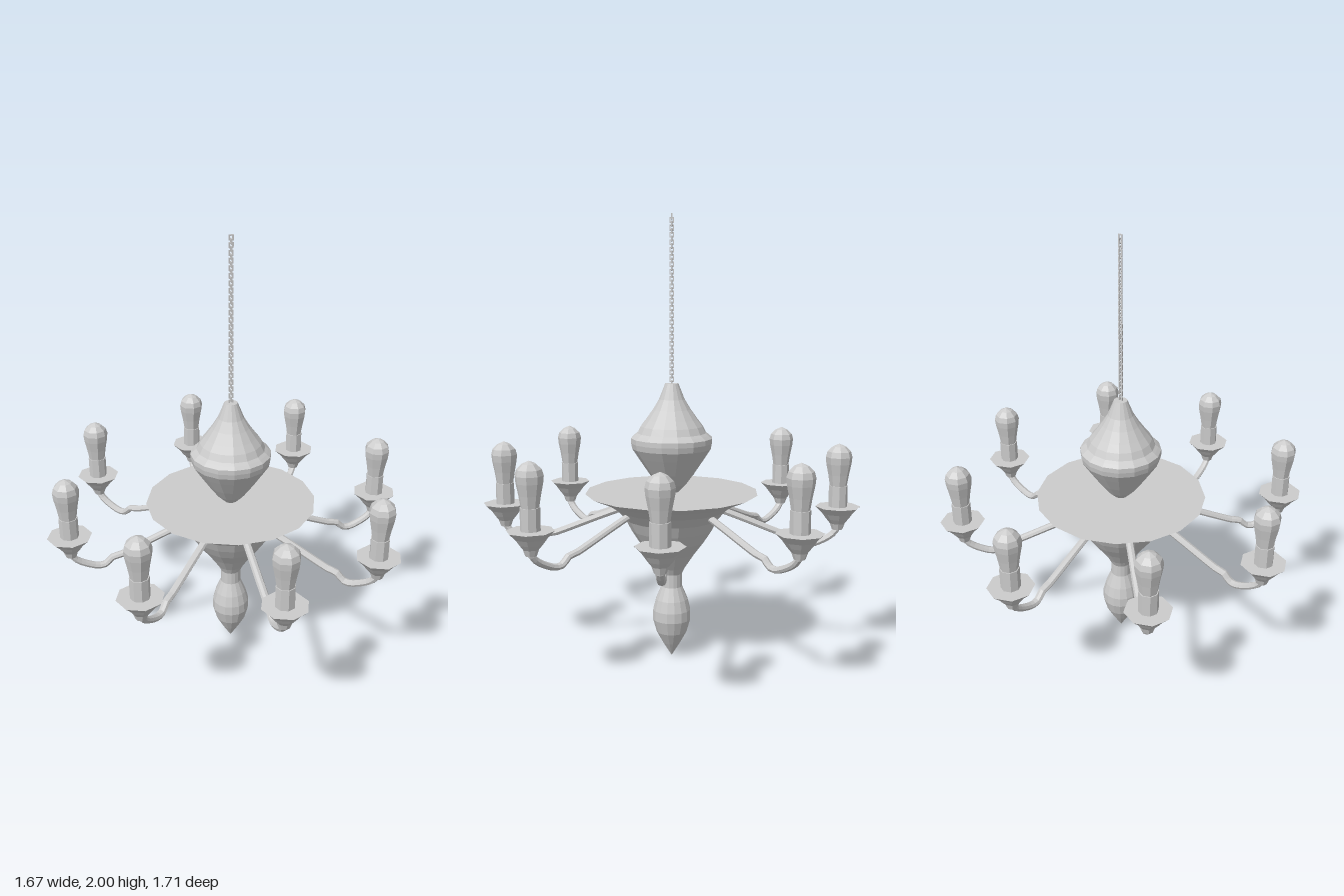
import * as THREE from 'three';

const material = new THREE.MeshStandardMaterial({
  color: 0xcccccc, flatShading: true, side: THREE.DoubleSide,
});

function mesh(name, geometry) {
  const m = new THREE.Mesh(geometry, material);
  m.name = name;
  return m;
}

// Turned part from [radius, height] pairs, listed bottom to top
function turned(name, profile, sides, phase = 0) {
  const points = profile.map(([r, y]) => new THREE.Vector2(r, y));
  return mesh(name, new THREE.LatheGeometry(points, sides, phase));
}

// One rectangular chain link with a hole
function linkGeometry(width, height, thick) {
  const rect = (shape, w, h) => {
    shape.moveTo(-w / 2, -h / 2);
    shape.lineTo(w / 2, -h / 2);
    shape.lineTo(w / 2, h / 2);
    shape.lineTo(-w / 2, h / 2);
    shape.closePath();
    return shape;
  };
  const outline = rect(new THREE.Shape(), width, height);
  outline.holes.push(rect(new THREE.Path(), width - 2 * thick, height - 2 * thick));
  const g = new THREE.ExtrudeGeometry(outline, { depth: thick, bevelEnabled: false });
  return g.translate(0, 0, -thick / 2);
}

function createChain(bottom, top) {
  const chain = new THREE.Group();
  chain.name = 'chain';
  const count = 47, length = 0.024;
  const geometry = linkGeometry(0.02, length, 0.005);
  const step = (top - bottom - length) / (count - 1);
  for (let i = 0; i < count; i++) {
    const link = mesh('chainLink', geometry);
    link.position.y = bottom + length / 2 + i * step;
    link.rotation.y = (i % 2) * Math.PI / 2;
    chain.add(link);
  }
  return chain;
}

// Arm, cup, candle and bulb; origin below the bulb, the arm runs inward along -x
function createBranch() {
  const branch = new THREE.Group();
  branch.name = 'branch';

  const path = [
    [0, 0.63], [-0.006, 0.605], [-0.03, 0.58], [-0.085, 0.55], [-0.125, 0.538],
    [-0.155, 0.543], [-0.185, 0.572], [-0.225, 0.58], [-0.275, 0.598],
    [-0.42, 0.655], [-0.54, 0.70],
  ].map(([x, y]) => new THREE.Vector3(x, y, 0));
  const curve = new THREE.CatmullRomCurve3(path, false, 'centripetal');
  const arm = mesh('arm', new THREE.TubeGeometry(curve, 26, 0.015, 8, false));
  arm.scale.z = 1.2;
  branch.add(arm);

  branch.add(turned('cup', [
    [0, 0.605], [0.024, 0.61], [0.034, 0.638], [0.052, 0.66],
    [0.07, 0.685], [0.1, 0.715], [0, 0.715],
  ], 8));
  branch.add(turned('candle', [[0.042, 0.715], [0.042, 0.81], [0, 0.81]], 8));
  branch.add(turned('bulb', [
    [0, 0.8], [0.038, 0.81], [0.046, 0.86], [0.056, 0.91], [0.059, 0.94],
    [0.052, 0.965], [0.03, 0.987], [0, 1.0],
  ], 8));
  return branch;
}

export function createModel() {
  const model = new THREE.Group();
  model.name = 'chandelier';

  // Central column
  const column = new THREE.Group();
  column.name = 'column';
  column.position.set(0.014, 0, -0.01);
  const phase = Math.PI / 16;
  column.add(turned('lowerBody', [
    [0, 0], [0.04, 0.065], [0.07, 0.12], [0.087, 0.18], [0.086, 0.225],
    [0.073, 0.275], [0.048, 0.335], [0.047, 0.395], [0.062, 0.425],
    [0.105, 0.49], [0.15, 0.55], [0.185, 0.605], [0.21, 0.655],
    [0.25, 0.7], [0.31, 0.74], [0.39, 0.775], [0, 0.775],
  ], 16, phase));
  column.add(turned('upperBody', [
    [0.03, 0.775], [0.065, 0.81], [0.105, 0.865], [0.152, 0.935], [0.178, 0.975],
    [0.183, 1.0], [0.183, 1.022], [0.168, 1.035], [0.155, 1.045],
    [0.14, 1.075], [0.117, 1.105], [0.085, 1.15], [0.058, 1.195], [0.042, 1.235],
    [0.03, 1.265], [0, 1.265],
  ], 16, phase));
  column.add(createChain(1.255, 2));
  model.add(column);

  // Eight branches, each placed under its bulb
  const bulbs = [
    [0.731, 0.002], [0.514, -0.541], [0.015, -0.757], [-0.522, -0.541],
    [-0.735, 0.002], [-0.522, 0.536], [0.015, 0.75], [0.514, 0.536],
  ];
  bulbs.forEach(([x, z], i) => {
    const branch = createBranch();
    branch.position.set(x, 0, z);
    branch.rotation.y = i * Math.PI / 4;
    model.add(branch);
  });
  return model;
}
